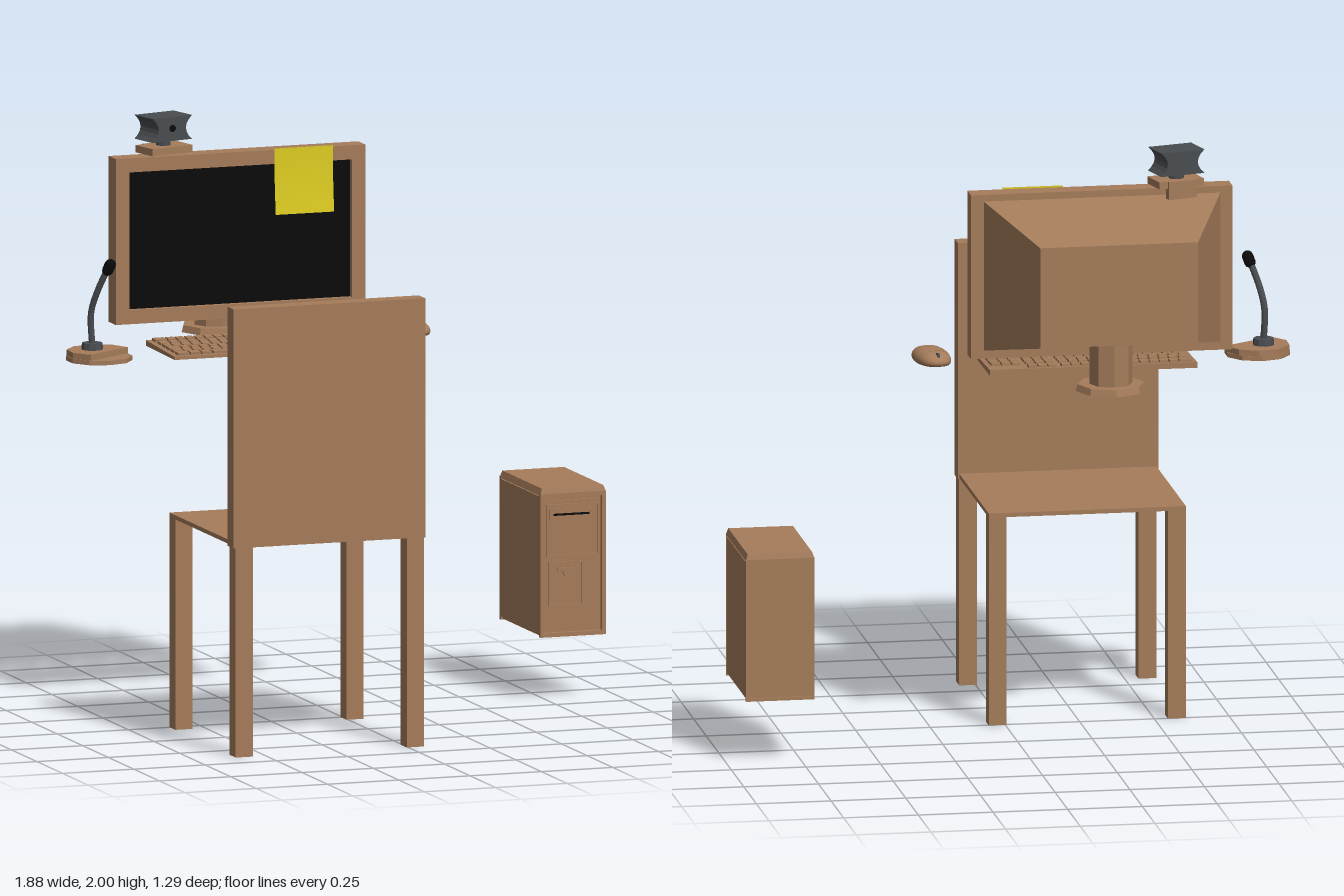
import * as THREE from 'three';

const mat = (name, color) => {
  const m = new THREE.MeshStandardMaterial({ color });
  m.name = name;
  return m;
};

export function createModel() {
  const brown = mat('brown', 0xa57c5b);
  const grey = mat('dark grey', 0x4a4d50);
  const black = mat('black', 0x0b0b0b);
  const yellow = mat('yellow', 0xdccb22);
  yellow.side = THREE.DoubleSide;
  const root = new THREE.Group();

  const group = (name) => {
    const g = new THREE.Group();
    g.name = name;
    root.add(g);
    return g;
  };
  const add = (parent, name, geo, m, x = 0, y = 0, z = 0) => {
    const mesh = new THREE.Mesh(geo, m);
    mesh.name = name;
    mesh.position.set(x, y, z);
    parent.add(mesh);
    return mesh;
  };
  // box given by its limits on each axis
  const box = (parent, name, m, x0, x1, y0, y1, z0, z1) =>
    add(parent, name, new THREE.BoxGeometry(x1 - x0, y1 - y0, z1 - z0), m,
      (x0 + x1) / 2, (y0 + y1) / 2, (z0 + z1) / 2);
  // upright prism with flat sides
  const prism = (parent, name, m, r0, r1, y0, y1, x, z, n) => {
    const g = new THREE.CylinderGeometry(r1, r0, y1 - y0, n).toNonIndexed();
    g.computeVertexNormals();
    return add(parent, name, g, m, x, (y0 + y1) / 2, z);
  };
  const extrude = (shape, depth) =>
    new THREE.ExtrudeGeometry(shape, { depth, bevelEnabled: false, curveSegments: 6 });
  // rectangular frame facing z with border b
  const rect = (C, x0, x1, y0, y1) =>
    new C().moveTo(x0, y0).lineTo(x1, y0).lineTo(x1, y1).lineTo(x0, y1).closePath();
  const frame = (parent, name, m, x0, x1, y0, y1, z0, z1, b) => {
    const s = rect(THREE.Shape, x0, x1, y0, y1);
    s.holes.push(rect(THREE.Path, x0 + b, x1 - b, y0 + b, y1 - b));
    return add(parent, name, extrude(s, z1 - z0), m, 0, 0, z0);
  };

  // chair
  const chair = group('chair');
  for (const x of [-0.605, -0.005])
    for (const [z, top] of [[-0.005, 0.706], [0.585, 0.71]])
      box(chair, 'chairLeg', brown, x, x + 0.06, 0, top, z, z + 0.06);
  box(chair, 'seat', brown, -0.605, 0.055, 0.704, 0.718, -0.005, 0.59);
  box(chair, 'backrest', brown, -0.612, 0.06, 0.7, 1.5, 0.583, 0.645);

  // monitor with tapered rear housing
  const monitor = group('monitor');
  frame(monitor, 'bezel', brown, -0.71, 0.165, 1.315, 1.87, -0.305, -0.235, 0.047);
  box(monitor, 'screen', black, -0.67, 0.125, 1.34, 1.845, -0.3, -0.255);
  const housing = new THREE.BoxGeometry(0.8, 0.51, 0.35);
  const p = housing.attributes.position;
  for (let i = 0; i < p.count; i++)
    if (p.getZ(i) < 0) p.setXY(i, p.getX(i) * 0.66, p.getY(i) * 0.667 - 0.003);
  housing.computeVertexNormals();
  add(monitor, 'rearHousing', housing, brown, -0.274, 1.595, -0.47);
  prism(monitor, 'standNeck', brown, 0.072, 0.072, 1.25, 1.43, -0.274, -0.48, 8);
  prism(monitor, 'standBase', brown, 0.118, 0.112, 1.235, 1.258, -0.274, -0.48, 8);

  // sticky note curling forward at its lower edge
  const note = new THREE.PlaneGeometry(0.205, 0.22, 1, 8);
  const np = note.attributes.position;
  for (let i = 0; i < np.count; i++) np.setZ(i, 0.014 * (0.5 - np.getY(i) / 0.22) ** 2);
  note.computeVertexNormals();
  add(root, 'stickyNote', note, yellow, -0.053, 1.765, -0.232);

  // webcam, turned slightly
  const cam = group('webcam');
  cam.position.set(-0.525, 0, -0.288);
  cam.rotation.y = 0.25;
  box(cam, 'cameraFoot', brown, -0.08, 0.08, 1.876, 1.9, -0.045, 0.055);
  box(cam, 'cameraClip', brown, -0.05, 0.05, 1.84, 1.9, -0.055, -0.03);
  prism(cam, 'cameraNeck', grey, 0.025, 0.025, 1.895, 1.925, 0, 0, 10);
  const body = new THREE.Shape().moveTo(-0.078, 1.92).lineTo(0.078, 1.92)
    .quadraticCurveTo(0.03, 1.96, 0.078, 2).lineTo(-0.078, 2).quadraticCurveTo(-0.03, 1.96, -0.078, 1.92);
  add(cam, 'cameraBody', extrude(body, 0.108), grey, 0, 0, -0.054);
  const lens = prism(cam, 'lens', black, 0.012, 0.012, 0, 0.006, 0, 0, 10);
  lens.rotation.x = Math.PI / 2;
  lens.position.set(0, 1.962, 0.054);

  // desk microphone
  const mic = group('microphone');
  prism(mic, 'micBase', brown, 0.11, 0.11, 1.235, 1.25, -0.837, -0.045, 10);
  const cut = new THREE.Shape();
  for (let i = 0; i < 7; i++) {
    const a = (124 + i * 38) * Math.PI / 180;
    cut[i ? 'lineTo' : 'moveTo'](0.108 * Math.cos(a), 0.108 * Math.sin(a));
  }
  const upper = extrude(cut.closePath(), 0.022);
  upper.rotateX(Math.PI / 2);
  add(mic, 'micBaseTop', upper, brown, -0.837, 1.27, -0.045);
  prism(mic, 'micCollar', grey, 0.036, 0.034, 1.268, 1.292, -0.855, -0.062, 10);
  const stem = new THREE.CatmullRomCurve3([
    [-0.855, 1.28, -0.062], [-0.858, 1.39, -0.065], [-0.845, 1.46, -0.045], [-0.822, 1.53, -0.022],
  ].map(v => new THREE.Vector3(...v)));
  add(mic, 'micStem', new THREE.TubeGeometry(stem, 16, 0.011, 8), grey);
  const head = add(mic, 'micHead', new THREE.CapsuleGeometry(0.019, 0.022, 3, 10), black, -0.814, 1.549, -0.012);
  head.quaternion.setFromUnitVectors(new THREE.Vector3(0, 1, 0), new THREE.Vector3(0.3, 0.88, 0.36).normalize());

  // keyboard: wedge with rows of keys following its slope
  const keyboard = group('keyboard');
  const wedge = new THREE.Shape().moveTo(-0.045, 1.236).lineTo(0.235, 1.24).lineTo(0.235, 1.259).lineTo(-0.045, 1.247).closePath();
  const kg = extrude(wedge, 0.695);
  kg.rotateY(Math.PI / 2);
  add(keyboard, 'keyboardBody', kg, brown, -0.605, 0, 0);
  const key = (x, w, row) => {
    const z = 0.015 - row * 0.042 - (row === 5 ? 0.012 : 0);
    const k = add(keyboard, 'key', new THREE.BoxGeometry(w - 0.006, 0.009, 0.034), brown,
      x + w / 2, 1.2525 - (z - 0.015) * 0.043, z);
    k.rotation.x = 0.043;
  };
  for (let row = 0; row < 6; row++) {
    if (row === 0) {
      [0.045, 0.04, 0.04, 0.19, 0.04, 0.04, 0.045].reduce((x, w) => (key(x, w, 0), x + w), -0.59);
    } else {
      const first = 0.03 + (row % 3) * 0.008;
      key(-0.59, first, row);
      const w = (0.44 - first) / 12;
      for (let i = 0; i < 12; i++) key(-0.59 + first + i * w, w, row);
    }
    for (let i = 0; i < 3; i++) if (row !== 1 || i === 1) key(-0.138 + i * 0.033, 0.033, row);
    if (row < 5) for (let i = 0; i < 3; i++) key(-0.028 + i * 0.035, 0.035, row);
  }

  // mouse: flattened, squared-off dome
  const mouse = group('mouse');
  mouse.position.set(0.26, 1.273, -0.08);
  mouse.rotation.y = 0.13;
  const dome = new THREE.SphereGeometry(1, 28, 16);
  const mp = dome.attributes.position;
  const soft = (v, e) => Math.sign(v) * Math.abs(v) ** e;
  for (let i = 0; i < mp.count; i++) {
    const y = mp.getY(i);
    mp.setXYZ(i, 0.058 * soft(mp.getX(i), 0.8), y > 0 ? y * 0.034 : Math.max(y * 0.03, -0.012), 0.1 * soft(mp.getZ(i), 0.85));
  }
  dome.computeVertexNormals();
  add(mouse, 'mouseBody', dome, brown);
  const wheel = prism(mouse, 'scrollWheel', grey, 0.012, 0.012, -0.004, 0.004, 0, 0, 12);
  wheel.rotation.z = Math.PI / 2;
  wheel.position.set(0, 0.02, -0.075);
  // button seam laid across the dome
  const seam = new THREE.CatmullRomCurve3([-0.045, -0.03, 0, 0.03, 0.045].map(x =>
    new THREE.Vector3(x, 0.034 * Math.sqrt(0.88 - Math.abs(x / 0.058) ** 2.5), -0.042)));
  add(mouse, 'buttonSeam', new THREE.TubeGeometry(seam, 12, 0.001, 5), brown);

  // computer tower with framed sides and top cap
  const tower = group('tower');
  box(tower, 'towerCore', brown, 0.72, 0.935, 0.22, 0.695, -0.445, -0.065);
  frame(tower, 'frontFrame', brown, 0.713, 0.943, 0.217, 0.697, -0.065, -0.05, 0.014);
  frame(tower, 'rearFrame', brown, 0.713, 0.943, 0.217, 0.697, -0.452, -0.44, 0.01);
  for (const x of [0.714, 0.932]) box(tower, 'sidePanel', brown, x, x + 0.01, 0.227, 0.688, -0.442, -0.062);
  const cap = new THREE.BoxGeometry(0.23, 0.022, 0.4);
  const cp = cap.attributes.position;
  for (let i = 0; i < cp.count; i++)
    if (cp.getY(i) > 0) { cp.setX(i, cp.getX(i) * 0.94); cp.setZ(i, cp.getZ(i) * 0.965); }
  cap.computeVertexNormals();
  add(tower, 'topCap', cap, brown, 0.828, 0.704, -0.251);
  box(tower, 'frontPanel', brown, 0.73, 0.926, 0.25, 0.672, -0.066, -0.058);
  frame(tower, 'driveBay', brown, 0.735, 0.92, 0.485, 0.66, -0.06, -0.052, 0.006);
  box(tower, 'driveTray', brown, 0.745, 0.91, 0.605, 0.645, -0.06, -0.054);
  box(tower, 'driveSlot', black, 0.76, 0.885, 0.622, 0.629, -0.055, -0.053);
  frame(tower, 'lowerBay', brown, 0.743, 0.862, 0.32, 0.468, -0.06, -0.052, 0.005);
  box(tower, 'lowerSlot', brown, 0.775, 0.835, 0.436, 0.446, -0.06, -0.053);
  const button = prism(tower, 'powerButton', brown, 0.012, 0.012, 0, 0.006, 0, 0, 12);
  button.rotation.x = Math.PI / 2;
  button.position.set(0.805, 0.43, -0.055);

  return root;
}
